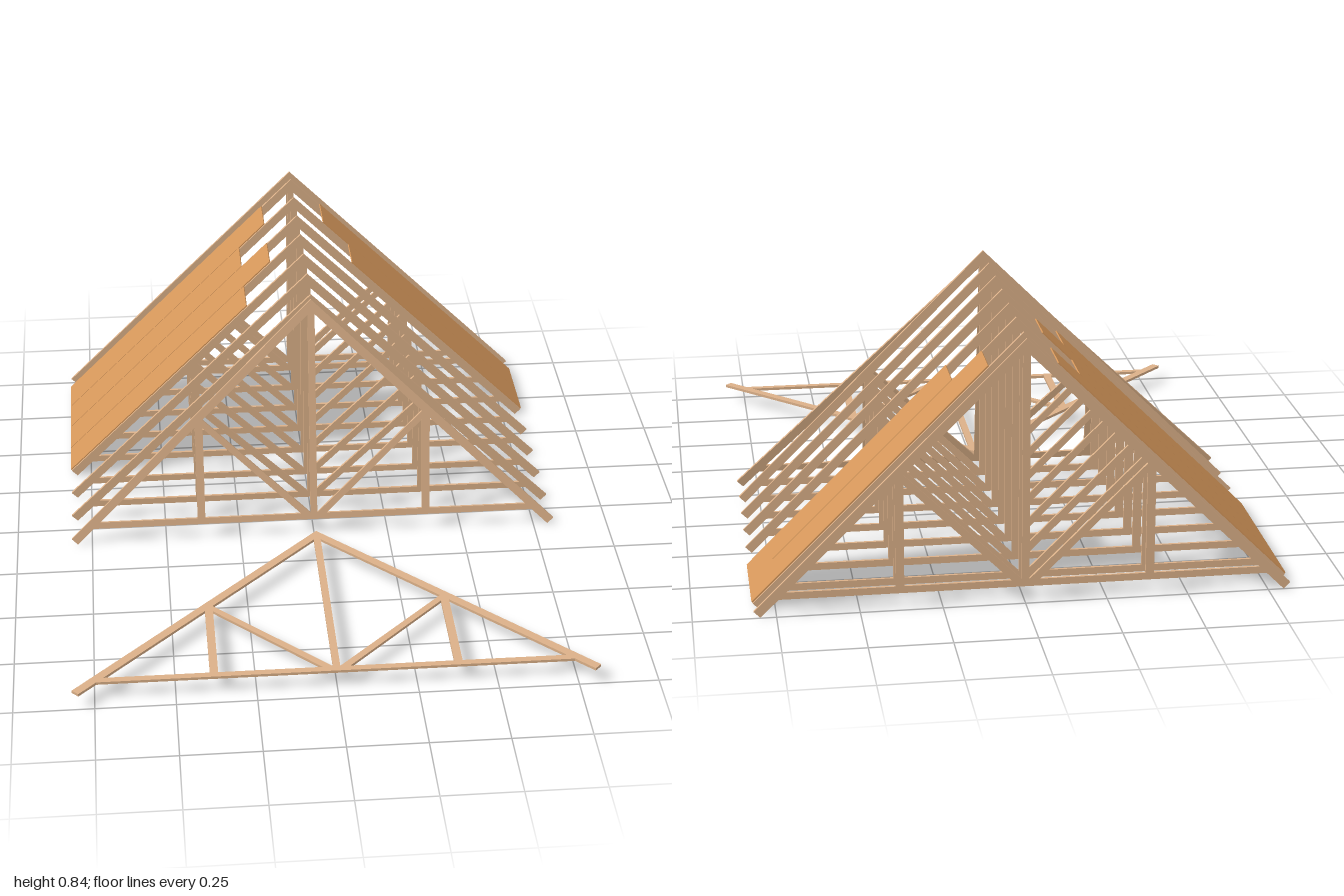
import * as THREE from 'three';

const PEAK = 0.838;    // height of the rafters' outer edge at the ridge
const INNER = 0.798;   // height of the rafters' inner edge at the ridge
const THICK = 0.009;   // timber thickness
const timber = new THREE.MeshStandardMaterial({ color: 0xdbb088 });
const board = new THREE.MeshStandardMaterial({ color: 0xd4965a });

// Flat timber member: an outline in x/y, extruded and centred in z
function member(name, points, mirror) {
  const pts = points.map(([x, y]) => new THREE.Vector2(mirror ? -x : x, y));
  const geo = new THREE.ExtrudeGeometry(new THREE.Shape(pts), { depth: THICK, bevelEnabled: false });
  geo.translate(0, 0, -THICK / 2);
  const mesh = new THREE.Mesh(geo, timber);
  mesh.name = name;
  return mesh;
}

function createTruss(name) {
  const truss = new THREE.Group();
  truss.name = name;
  const low = 0.055, top = 0.077;   // bottom chord edges
  truss.add(member('bottomChord', [
    [-(INNER - low), low], [INNER - low, low], [INNER - top, top], [-(INNER - top), top]]));
  truss.add(member('kingPost', [
    [-0.0115, top], [0.0115, top], [0.0115, INNER - 0.0115], [0, INNER], [-0.0115, INNER - 0.0115]]));
  for (const mirror of [false, true]) {
    const side = mirror ? 'right' : 'left';
    truss.add(member(side + 'Rafter', [
      [0, INNER], [INNER, 0], [INNER + 0.02, PEAK - INNER - 0.02], [0, PEAK]], mirror));
    truss.add(member(side + 'Post', [
      [0.367, top], [0.393, top], [0.393, INNER - 0.393], [0.367, INNER - 0.367]], mirror));
    truss.add(member(side + 'Brace', [
      [0.0115, top], [0.043, top], [0.367, 0.401], [0.367, INNER - 0.367], [0.0115, 0.0785]], mirror));
  }
  return truss;
}

// Roof sheathing board for one bay, lying on the 45 degree slope
function createBoard(side, xTop, zCentre, width) {
  const xEnd = 0.818, t = 0.004;
  const mesh = new THREE.Mesh(new THREE.BoxGeometry((xEnd - xTop) * Math.SQRT2, t, width), board);
  const mid = (xTop + xEnd) / 2;
  mesh.position.set(side * (mid + 0.0015), PEAK - mid + 0.0015, zCentre);
  mesh.rotation.z = -side * Math.PI / 4;
  mesh.name = side > 0 ? 'leftSheathing' : 'rightSheathing';
  return mesh;
}

export function createModel() {
  const model = new THREE.Group();
  model.name = 'roofTrusses';

  // Standing trusses: gable end plus seven evenly spaced
  const first = -0.932, pitch = 0.1455;
  const gable = createTruss('gableTruss');
  gable.position.z = -0.9955;
  model.add(gable);
  for (let i = 0; i < 7; i++) {
    const truss = createTruss('standingTruss');
    truss.position.z = first + i * pitch;
    model.add(truss);
  }

  // Truss being tipped up into place
  const tilted = createTruss('tiltedTruss');
  tilted.position.set(0, 0, 0.09);
  tilted.rotation.x = -0.167;
  model.add(tilted);

  // Truss lying flat in front
  const flat = createTruss('flatTruss');
  flat.position.set(0, 0.053, 1);
  flat.rotation.x = -Math.PI / 2;
  model.add(flat);

  // Staggered sheathing: four bays on one slope, two on the other
  for (const [side, bays] of [[-1, 4], [1, 2]]) {
    for (let i = 0; i < bays; i++) {
      model.add(createBoard(side, i % 2 ? 0.193 : 0.103, first + (i + 0.5) * pitch, pitch - 0.003));
    }
  }
  return model;
}
